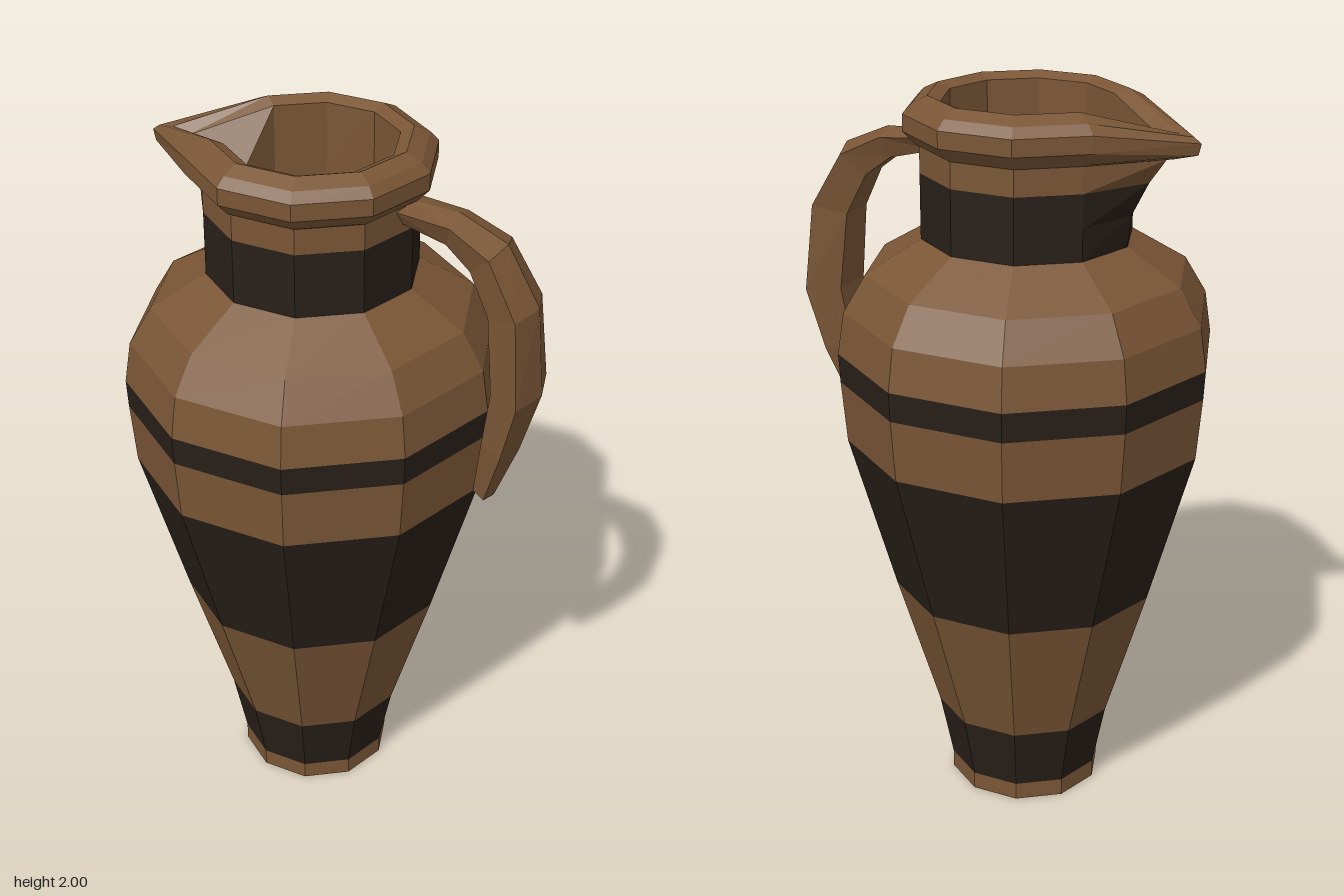
import * as THREE from 'three';

const SIDES = 10, AXIS_X = -0.077, SPOUT = 8;
const STEP = Math.PI * 2 / SIDES;
const mat = (color) => new THREE.MeshStandardMaterial({ color, flatShading: true });
const clay = mat(0x7a5636), glaze = mat(0x281f19), wine = mat(0x883f50);

// Skin a list of equal-sized rings of Vector3, optionally closing both ends.
function loft(rings, capped = false) {
  const pos = [], n = rings[0].length;
  const tri = (...pts) => pts.forEach((p) => pos.push(p.x, p.y, p.z));
  for (let i = 0; i < rings.length - 1; i++) {
    for (let k = 0; k < n; k++) {
      const a = rings[i][k], b = rings[i][(k + 1) % n];
      const c = rings[i + 1][(k + 1) % n], d = rings[i + 1][k];
      tri(a, b, c);
      tri(a, c, d);
    }
  }
  if (capped) {
    const first = rings[0], last = rings[rings.length - 1];
    for (let k = 1; k < n - 1; k++) {
      tri(first[0], first[k + 1], first[k]);
      tri(last[0], last[k], last[k + 1]);
    }
  }
  const g = new THREE.BufferGeometry();
  g.setAttribute('position', new THREE.Float32BufferAttribute(pos, 3));
  g.computeVertexNormals();
  return g;
}

// Ten-sided ring; one corner may be pulled to its own radius and height for the spout.
function ring([r, y, spoutR = r, spoutY = y]) {
  return Array.from({ length: SIDES }, (_, k) => {
    const rr = k === SPOUT ? spoutR : r;
    return new THREE.Vector3(AXIS_X + rr * Math.sin(k * STEP), k === SPOUT ? spoutY : y, rr * Math.cos(k * STEP));
  });
}

// Handle swept through stations: [distance from axis, height, half width, half thickness]
function handleGeometry() {
  const stations = [
    [0.26, 1.85, 0.06, 0.025], [0.4, 1.83, 0.06, 0.04], [0.5, 1.775, 0.075, 0.055],
    [0.575, 1.64, 0.09, 0.06], [0.597, 1.41, 0.105, 0.058], [0.56, 1.24, 0.085, 0.045],
    [0.515, 1.07, 0.042, 0.026],
  ];
  const section = [[1, 0], [0.5, 1], [-1, 0.6], [-1, -0.6], [0.5, -1]];
  const out = new THREE.Vector3(Math.cos(STEP / 2), 0, -Math.sin(STEP / 2));
  const across = new THREE.Vector3(Math.sin(STEP / 2), 0, Math.cos(STEP / 2));
  const rings = stations.map(([s, y, w, t], i) => {
    const p = stations[Math.max(i - 1, 0)], q = stations[Math.min(i + 1, stations.length - 1)];
    const dir = new THREE.Vector2(q[0] - p[0], q[1] - p[1]).normalize();
    return section.map(([n, b]) => {
      const v = new THREE.Vector3(AXIS_X, y + dir.x * n * t, 0);
      return v.addScaledVector(out, s - dir.y * n * t).addScaledVector(across, b * w);
    });
  });
  return loft(rings, true);
}

export function createModel() {
  const jug = new THREE.Group();
  jug.name = 'jug';
  const add = (name, geometry, material) => {
    const mesh = new THREE.Mesh(geometry, material);
    mesh.name = name;
    jug.add(mesh);
    return mesh;
  };

  // Painted bands from foot to lip: rows are [radius, height, spout radius, spout height]
  const bands = [
    ['foot', clay, [[0.215, 0], [0.215, 0.05]]],
    ['lowerBand', glaze, [[0.215, 0.05], [0.252, 0.235]]],
    ['lowerBody', clay, [[0.252, 0.235], [0.368, 0.625]]],
    ['wideBand', glaze, [[0.368, 0.625], [0.492, 1.07]]],
    ['upperBody', clay, [[0.492, 1.07], [0.506, 1.24]]],
    ['narrowBand', glaze, [[0.506, 1.24], [0.51, 1.32]]],
    ['shoulder', clay, [[0.51, 1.32], [0.492, 1.435], [0.432, 1.535], [0.283, 1.625]]],
    ['neckBand', glaze, [[0.283, 1.625], [0.283, 1.71, 0.292], [0.283, 1.8, 0.337]]],
    ['neckTop', clay, [[0.283, 1.8, 0.337], [0.283, 1.87, 0.382, 1.865]]],
    ['rimAndSpout', clay, [
      [0.283, 1.87, 0.382, 1.865], [0.292, 1.875, 0.4, 1.868], [0.325, 1.91, 0.465, 1.885],
      [0.325, 1.955, 0.472, 1.915], [0.302, 1.98, 0.452, 1.93], [0.26, 2, 0.41, 1.935],
      [0.225, 1.985, 0.371, 1.915],
    ]],
    ['innerWall', clay, [[0.225, 1.985, 0.371, 1.915], [0.225, 1.8], [0.225, 1.6]]],
  ];
  for (const [name, material, rows] of bands) add(name, loft(rows.map(ring)), material);

  // Underside and the surface of the contents
  const disc = (r, tilt) => new THREE.CircleGeometry(r, SIDES, Math.PI / 2).rotateX(tilt);
  add('base', disc(0.215, Math.PI / 2), clay).position.set(AXIS_X, 0, 0);
  add('liquid', disc(0.225, -Math.PI / 2), wine).position.set(AXIS_X, 1.6, 0);

  add('handle', handleGeometry(), clay);
  return jug;
}
